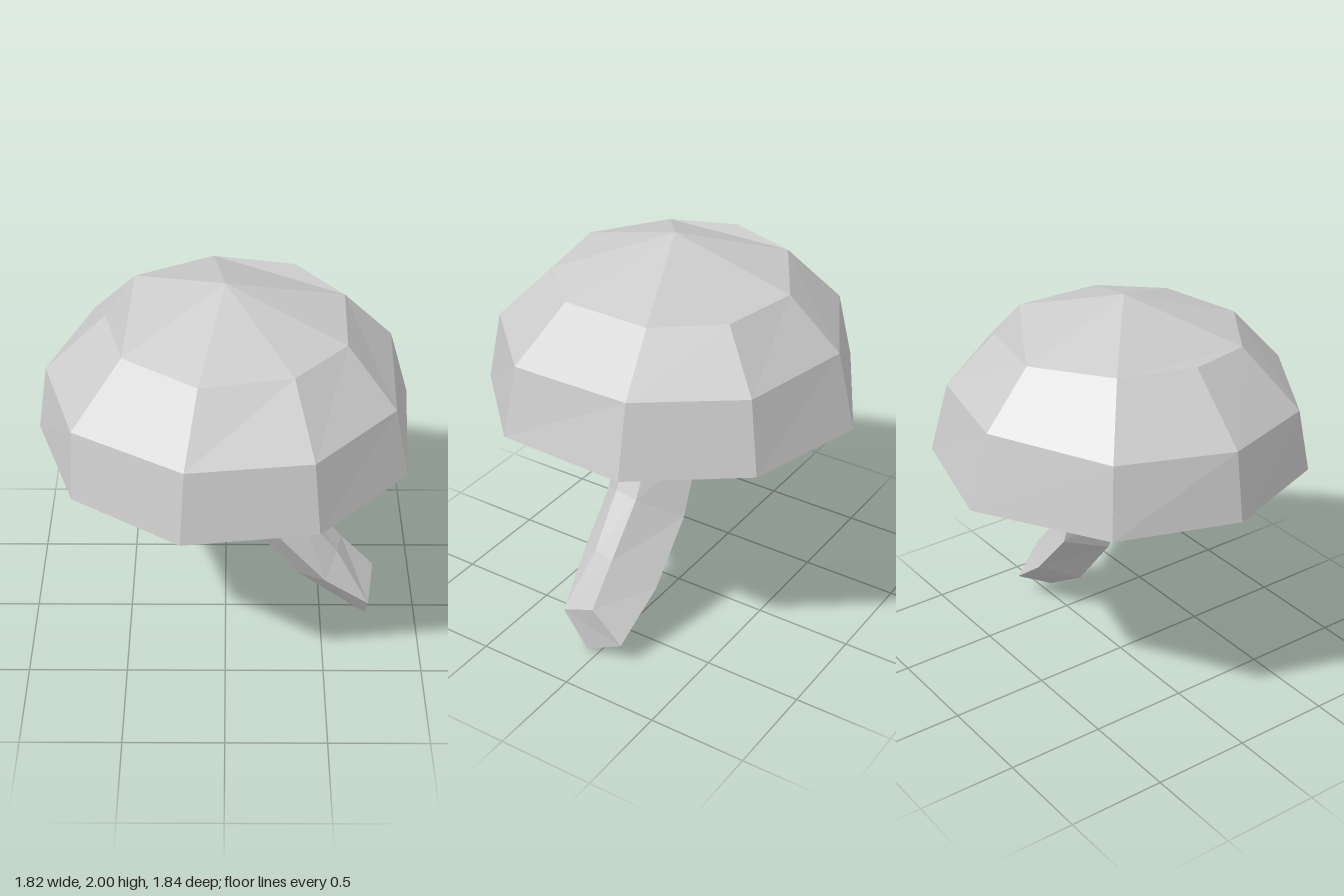
import * as THREE from 'three';

// Skins a stack of rings (counter-clockwise seen from above) into faceted faces
function loft(rings) {
  const pos = [];
  const tri = (a, b, c) => {
    const [p, q, r] = [a, b, c].map((v) => new THREE.Vector3(...v));
    if (q.sub(p).cross(r.sub(p)).length() > 1e-6) pos.push(...a, ...b, ...c);
  };
  for (let i = 0; i < rings.length - 1; i++) {
    const lo = rings[i], hi = rings[i + 1], n = lo.length;
    for (let j = 0; j < n; j++) {
      const k = (j + 1) % n;
      tri(lo[j], lo[k], hi[k]);
      tri(lo[j], hi[k], hi[j]);
    }
  }
  const geo = new THREE.BufferGeometry();
  geo.setAttribute('position', new THREE.Float32BufferAttribute(pos, 3));
  geo.computeVertexNormals();
  return geo;
}

// A ring collapsed to one point, and the middle of some points
const point = (n, p) => Array.from({ length: n }, () => p);
const centre = (pts) => [0, 1, 2].map((i) => pts.reduce((s, p) => s + p[i], 0) / pts.length);

export function createModel() {
  const group = new THREE.Group();
  const material = new THREE.MeshStandardMaterial({ color: 0xcccccc, flatShading: true });
  const add = (name, geo) => {
    const mesh = new THREE.Mesh(geo, material);
    mesh.name = name;
    group.add(mesh);
  };

  // Cap: nine uneven sides, a turned-in lip and a conical hollow underneath
  const rim = [
    [-0.72, 1.2, -0.57], [-0.91, 1.19, 0.02], [-0.71, 1.19, 0.6],
    [-0.2, 1.18, 0.92], [0.43, 1.18, 0.84], [0.86, 1.19, 0.41],
    [0.91, 1.21, -0.27], [0.53, 1.2, -0.76], [-0.09, 1.19, -0.92],
  ];
  const shoulder = [
    [-0.66, 1.54, -0.52], [-0.86, 1.53, 0.02], [-0.7, 1.52, 0.53],
    [-0.18, 1.53, 0.85], [0.4, 1.53, 0.78], [0.79, 1.54, 0.38],
    [0.81, 1.56, -0.25], [0.47, 1.55, -0.69], [-0.1, 1.56, -0.82],
  ];
  const crown = [
    [-0.44, 1.83, -0.34], [-0.56, 1.83, 0.02], [-0.47, 1.81, 0.36],
    [-0.12, 1.81, 0.6], [0.31, 1.81, 0.52], [0.56, 1.81, 0.25],
    [0.57, 1.81, -0.2], [0.34, 1.81, -0.49], [-0.06, 1.81, -0.57],
  ];
  const lip = rim.map(([x, y, z]) => [x * 0.87, y - 0.03, z * 0.87]);
  // Two crown corners end in a flat ledge instead of a ridge to the peak
  const ledges = crown.map((p, i) => (i === 1 || i === 7 ? centre([crown[i - 1], crown[i + 1]]) : p));
  add('cap', loft([point(9, [0, 1.5, 0]), lip, rim, shoulder, crown, ledges, point(9, [0, 2, 0.02])]));

  // Stem: five-sided, curving sideways to a slanted cut end
  const stem = [
    [[0.74, 0, 0.06], [0.74, 0.19, 0.2], [0.74, 0.19, 0.2], [0.77, 0.29, 0], [0.75, 0.12, -0.15]],
    [[0.38, 0.24, 0.01], [0.51, 0.38, 0.24], [0.57, 0.48, 0.12], [0.6, 0.48, 0], [0.49, 0.32, -0.185]],
    [[0.12, 0.56, 0.01], [0.28, 0.65, 0.24], [0.38, 0.73, 0.12], [0.4, 0.73, -0.01], [0.24, 0.6, -0.185]],
    [[-0.04, 0.88, 0.01], [0.15, 0.93, 0.24], [0.25, 1, 0.13], [0.27, 0.98, -0.01], [0.11, 0.92, -0.185]],
    [[-0.25, 1.48, 0.01], [-0.01, 1.48, 0.24], [0.11, 1.48, 0.17], [0.16, 1.48, 0], [-0.05, 1.48, -0.17]],
  ];
  add('stem', loft([point(5, centre(stem[0])), ...stem, point(5, centre(stem[4]))]));

  return group;
}
